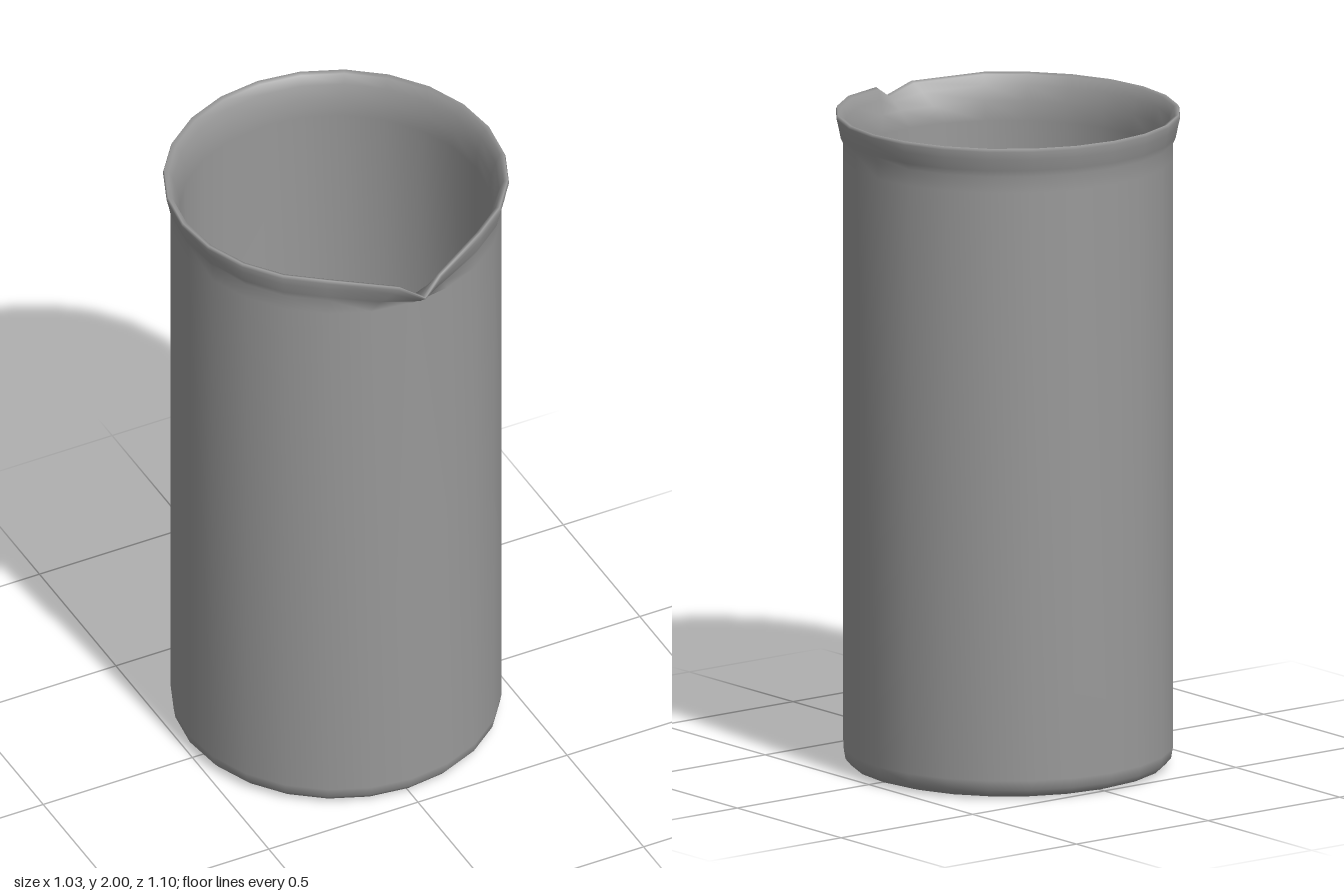
import * as THREE from 'three';
import { mergeVertices } from 'three/addons/utils/BufferGeometryUtils.js';

const SIDES = 24;

// Wall cross-section: outside from the base up, over the lip, down the inside
const PROFILE = [
  [0, 0], [0.44, 0], [0.473, 0.01], [0.49, 0.03], [0.495, 0.06],
  [0.495, 1.86], [0.495, 1.91], [0.504, 1.93], [0.511, 1.965], [0.517, 1.99],
  [0.513, 2.0], [0.5, 1.995], [0.487, 1.965], [0.473, 1.92], [0.47, 1.86],
  [0.47, 0.07], [0.45, 0.035], [0.42, 0.025], [0, 0.025],
].map(([r, y]) => new THREE.Vector2(r, y));

// Pulls the three front columns of the lip forward and down into a pointed spout
function shapeSpout(geometry) {
  const p = geometry.attributes.position;
  for (let i = 0; i < p.count; i++) {
    const x = p.getX(i), y = p.getY(i), z = p.getZ(i);
    if (y <= 1.861 || z <= 0) continue;
    const column = Math.round(Math.abs(Math.atan2(x, z)) / (2 * Math.PI / SIDES));
    if (column > 1) continue;
    const t = (y - 1.86) / 0.14;
    if (column === 0) p.setXYZ(i, x, y - 0.06 * t ** 1.5, z + 0.072 * Math.sqrt(t));
    else p.setXYZ(i, x * (1 - 0.5 * t), y - 0.02 * t, z + 0.056 * t);
  }
}

export function createModel() {
  const group = new THREE.Group();
  group.name = 'beaker';

  // One closed wall with floor, rolled lip and spout
  let geometry = new THREE.LatheGeometry(PROFILE, SIDES);
  geometry.deleteAttribute('uv');
  geometry.deleteAttribute('normal');
  geometry = mergeVertices(geometry, 1e-4);
  shapeSpout(geometry);
  geometry.translate(0, 0, -0.036);
  geometry.computeVertexNormals();

  const body = new THREE.Mesh(
    geometry,
    new THREE.MeshStandardMaterial({ color: 0x999999, side: THREE.DoubleSide }),
  );
  body.name = 'beakerBody';
  group.add(body);
  return group;
}
